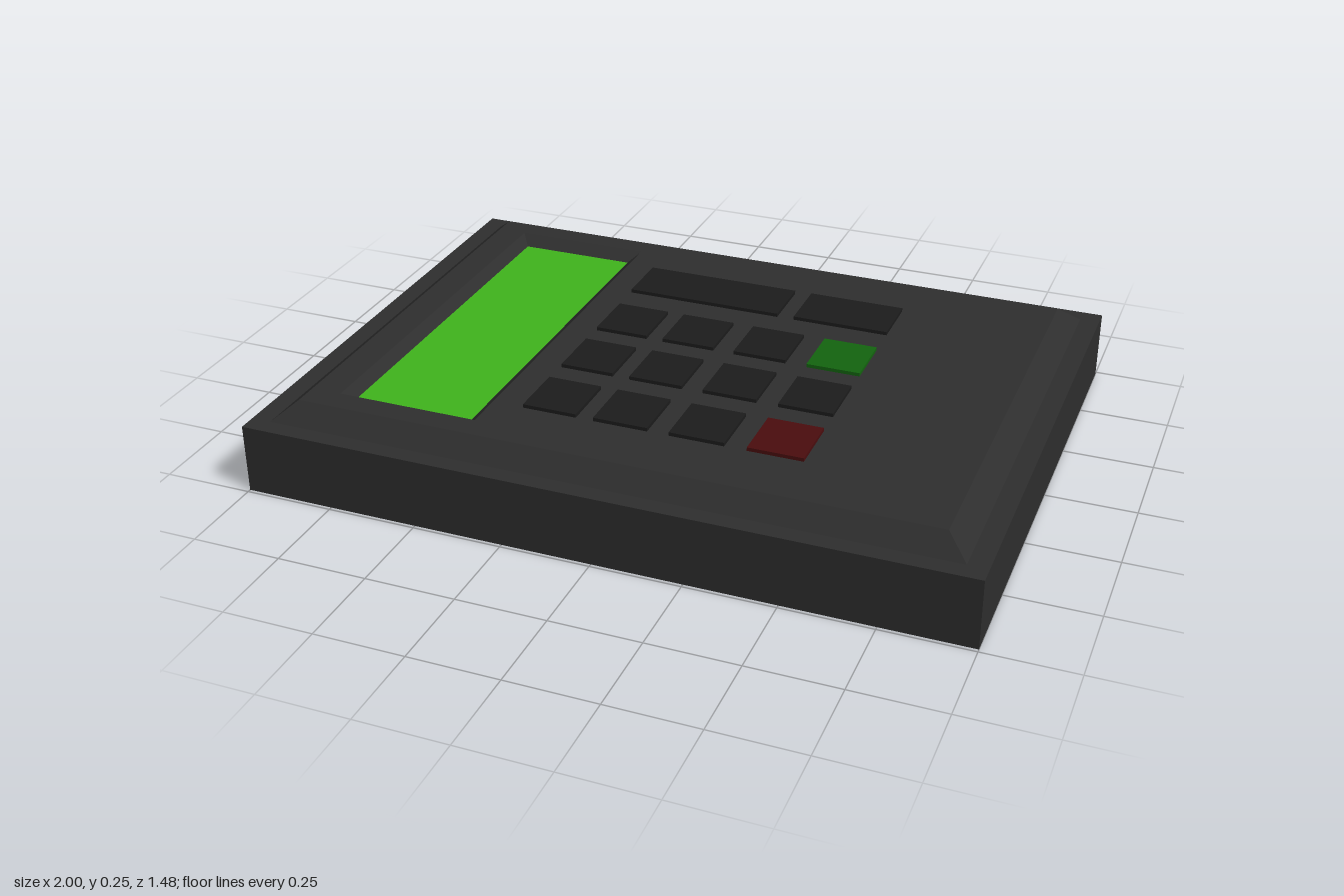
import * as THREE from 'three';

const material = (color) => new THREE.MeshStandardMaterial({ color, flatShading: true });

// Rectangle corners, counterclockwise from above
const rect = (x0, x1, z0, z1, y) => [[x0, y, z1], [x1, y, z1], [x1, y, z0], [x0, y, z0]];

// Joins successive rectangles with flat quads, optionally closing either end
function loftRects(rings, capBottom, capTop) {
  const points = [];
  const quad = (a, b, c, d) => points.push(...a, ...b, ...c, ...a, ...c, ...d);
  for (let i = 0; i + 1 < rings.length; i++) {
    const lower = rings[i], upper = rings[i + 1];
    for (let k = 0; k < 4; k++) {
      const n = (k + 1) % 4;
      quad(lower[k], lower[n], upper[n], upper[k]);
    }
  }
  if (capBottom) quad(...[...rings[0]].reverse());
  if (capTop) quad(...rings[rings.length - 1]);
  const geometry = new THREE.BufferGeometry();
  geometry.setAttribute('position', new THREE.Float32BufferAttribute(points, 3));
  geometry.computeVertexNormals();
  return geometry;
}

export function createModel() {
  const group = new THREE.Group();
  const add = (name, geometry, mat) => {
    const mesh = new THREE.Mesh(geometry, mat);
    mesh.name = name;
    group.add(mesh);
    return mesh;
  };

  const bodyMat = material(0x2e2e2e);
  const keyMat = material(0x1c1c1c);
  const greenMat = material(0x13640f);
  const redMat = material(0x4a0d0e);

  // Casing: base, ledge, bevelled deck and the sloped walls of the screen recess
  add('casing', loftRects([
    rect(-1, 1, -0.74, 0.74, 0),
    rect(-1, 1, -0.74, 0.74, 0.195),
    rect(-0.945, 0.945, -0.69, 0.69, 0.195),
    rect(-0.885, 0.885, -0.635, 0.635, 0.245),
    rect(-0.8, -0.4, -0.57, 0.565, 0.245),
    rect(-0.77, -0.43, -0.53, 0.53, 0.22),
  ], true, false), bodyMat);

  // Sunken display
  const screen = add('screen', new THREE.PlaneGeometry(0.34, 1.06).rotateX(-Math.PI / 2), material(0x40b41c));
  screen.position.set(-0.6, 0.22, 0);

  // Keys stand slightly proud of the deck
  const addKey = (name, x0, x1, z, mat) => {
    const key = add(name, new THREE.BoxGeometry(x1 - x0, 0.03, 0.165), mat);
    key.position.set((x0 + x1) / 2, 0.24, z);
  };
  addKey('wideKey', -0.315, 0.14, -0.373, keyMat);
  addKey('mediumKey', 0.19, 0.467, -0.373, keyMat);

  const columns = [-0.235, -0.034, 0.178, 0.391];
  const rows = [-0.108, 0.133, 0.377];
  rows.forEach((z, r) => columns.forEach((x, c) => {
    const last = c === 3;
    const mat = last && r === 0 ? greenMat : last && r === 2 ? redMat : keyMat;
    const name = mat === greenMat ? 'greenKey' : mat === redMat ? 'redKey' : 'key';
    addKey(name, x - 0.076, x + 0.076, z, mat);
  }));

  return group;
}
